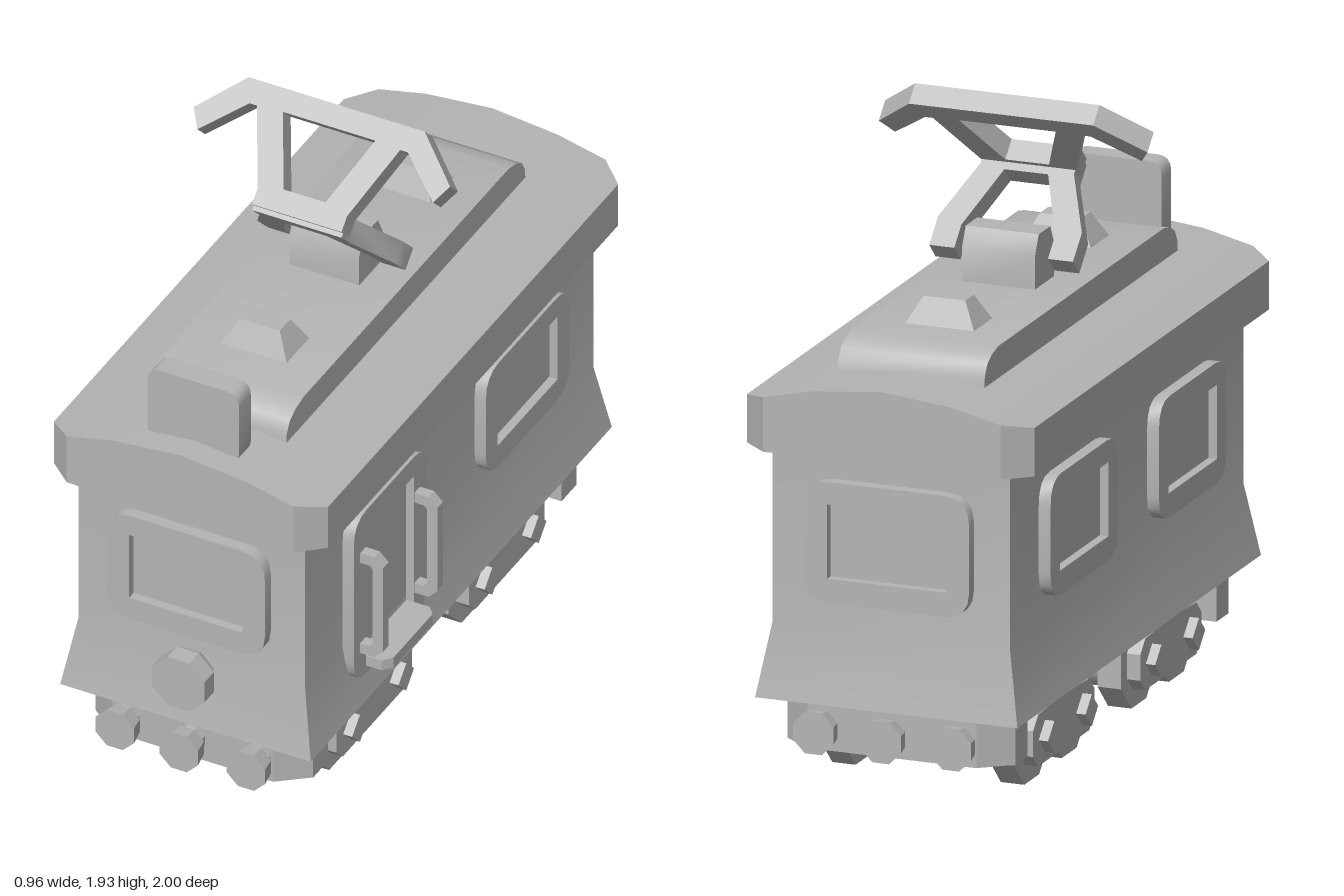
import * as THREE from 'three';
import { toCreasedNormals } from 'three/addons/utils/BufferGeometryUtils.js';

const grey = new THREE.MeshStandardMaterial({ color: 0xb4b4b4 });
grey.name = 'plain grey';

export function createModel() {
  const model = new THREE.Group();
  model.name = 'tram';
  const tram = new THREE.Group();
  tram.name = 'tramBody';
  tram.position.x = -0.02;
  model.add(tram);

  const add = (name, geo, x = 0, y = 0, z = 0, parent = tram, crease = 0.6) => {
    const mesh = new THREE.Mesh(toCreasedNormals(geo, crease), grey);
    mesh.name = name;
    mesh.position.set(x, y, z);
    parent.add(mesh);
    return mesh;
  };
  const box = (w, h, d) => new THREE.BoxGeometry(w, h, d);
  const poly = pts => new THREE.Shape(pts.map(p => new THREE.Vector2(p[0], p[1])));
  // mirrors a half outline to the other side of x = 0
  const mirrored = half => poly([...half, ...half.slice().reverse().map(([x, y]) => [-x, y])]);
  const extrude = (shape, depth) =>
    new THREE.ExtrudeGeometry(shape, { depth, bevelEnabled: false, curveSegments: 4 });
  // outline in (z, y), extruded across x and centred
  const across = (shape, width) =>
    extrude(shape, width).translate(0, 0, -width / 2).rotateY(-Math.PI / 2);
  const reshape = (geo, rule) => {
    const p = geo.attributes.position, v = new THREE.Vector3();
    for (let i = 0; i < p.count; i++) {
      rule(v.fromBufferAttribute(p, i));
      p.setXYZ(i, v.x, v.y, v.z);
    }
    return geo;
  };
  const roundRect = (x0, y0, x1, y1, r) => {
    const s = new THREE.Shape();
    s.moveTo(x0 + r, y0).lineTo(x1 - r, y0).quadraticCurveTo(x1, y0, x1, y0 + r);
    s.lineTo(x1, y1 - r).quadraticCurveTo(x1, y1, x1 - r, y1);
    s.lineTo(x0 + r, y1).quadraticCurveTo(x0, y1, x0, y1 - r);
    s.lineTo(x0, y0 + r).quadraticCurveTo(x0, y0, x0 + r, y0);
    return s;
  };
  const octagon = (r0, r1, len) =>
    new THREE.CylinderGeometry(r1, r0, len, 8).rotateY(Math.PI / 8).rotateX(Math.PI / 2);

  // cabin with flared skirt
  const levels = [0.28, 0.51, 1.08];
  add('cabin', reshape(new THREE.BoxGeometry(2, 2, 2, 1, 2, 1), v => {
    const flare = v.y < -0.5 ? 0.04 : 0;
    v.set(v.x * (0.38 + flare), levels[Math.round(v.y) + 1], v.z * (0.915 + flare));
  }), 0, 0, 0, tram, 0.3);

  // arched roof with cut corners
  const rx = [0, 0.22, 0.37, 0.46], rz = [0, 0.92, 0.99];
  const archY = x => 1.283 - 0.022 * Math.min(x / 0.22, 1) - 0.056 * Math.max(0, (x - 0.22) / 0.24);
  add('roof', reshape(new THREE.BoxGeometry(6, 1, 4, 6, 1, 4), v => {
    const i = Math.abs(Math.round(v.x)), k = Math.abs(Math.round(v.z));
    const x = k === 2 ? Math.min(rx[i], 0.38) : rx[i];
    v.set(Math.sign(v.x) * x, v.y > 0 ? archY(x) : 1.055, Math.sign(v.z) * rz[k]);
  }));

  // raised roof deck with rounded ends
  add('roofDeck', across(mirrored([[0.76, 1.24], [0.755, 1.29], [0.735, 1.325], [0.70, 1.345], [0.65, 1.357]]), 0.468));

  // tapered roof vents
  for (const z of [0.45, -0.465])
    add('roofVent', reshape(box(2, 0.09, 2), v => {
      const top = v.y > 0;
      v.set(v.x * (top ? 0.067 : 0.116), v.y, v.z * (top ? 0.033 : 0.077));
    }), 0, 1.391, z);

  // destination board
  add('signBoard', extrude(roundRect(-0.153, 1.24, 0.153, 1.5, 0.045), 0.075), 0, 0, 0.83);

  // pantograph foot and two folding frames
  add('pantographFoot', across(mirrored([[0.075, 1.34], [0.075, 1.46], [0.045, 1.52]]), 0.234));
  const upper = mirrored([[0.15, -0.02], [0.15, 0.03], [0.24, 0.265], [0.265, 0.265], [0.395, 0.145], [0.43, 0.205], [0.295, 0.339]]);
  upper.holes.push(mirrored([[0.07, 0.05], [0.155, 0.27]]));
  const lower = mirrored([[0.15, -0.02], [0.15, 0.05], [0.23, 0.24], [0.23, 0.339], [0.15, 0.339], [0.15, 0.26], [0.07, 0.06]]);
  for (const [name, shape, tilt] of [['pantographUpper', upper, -0.25], ['pantographLower', lower, -0.75]])
    add(name, extrude(shape, 0.07).translate(0, 0, -0.035).rotateX(tilt * Math.PI), 0, 1.665, 0.21);

  // window and door frames, outline and opening given on the wall
  const frame = (name, angle, wall, along, [w, y0, y1], [iw, iy0, iy1]) => {
    const holder = new THREE.Group();
    holder.name = name;
    holder.rotation.y = angle;
    tram.add(holder);
    const shape = roundRect(-w, y0, w, y1, 0.085);
    shape.holes.push(poly([[-iw, iy0], [-iw, iy1], [iw, iy1], [iw, iy0]]));
    add(name + 'Frame', extrude(shape, 0.048), along, 0, wall - 0.01, holder);
    add(name + 'Panel', box(iw * 2, iy1 - iy0, 0.012), along, (iy0 + iy1) / 2, wall + 0.004, holder);
  };
  const win = [[0.265, 0.597, 0.973], [0.19, 0.673, 0.903]];
  frame('frontWindow', 0, 0.915, 0, ...win);
  frame('backWindow', Math.PI, 0.915, 0, ...win);
  frame('leftWindow', Math.PI / 2, 0.38, 0.425, ...win);
  for (const z of [-0.425, 0.425]) frame('rightWindow', -Math.PI / 2, 0.38, z, ...win);
  frame('door', Math.PI / 2, 0.38, -0.448, [0.23, 0.375, 0.973], [0.153, 0.44, 0.903]);

  // door step and grab handles
  add('doorStep', extrude(poly([[0.38, -0.153], [0.47, -0.153], [0.495, -0.125], [0.495, 0.125], [0.47, 0.153], [0.38, 0.153]]), 0.036)
    .rotateX(-Math.PI / 2), 0, 0.405, 0.448);
  for (const z of [0.62, 0.276])
    add('grabHandle', extrude(poly([[0.4, 0.475], [0.465, 0.475], [0.495, 0.505], [0.495, 0.81], [0.465, 0.84], [0.4, 0.84],
      [0.4, 0.805], [0.45, 0.805], [0.46, 0.795], [0.46, 0.52], [0.45, 0.51], [0.4, 0.51]]), 0.036), 0, 0, z - 0.018);

  // headlight
  add('headlight', octagon(0.075, 0.095, 0.04), 0, 0.45, 0.925);
  add('headlightLens', octagon(0.095, 0.095, 0.06), 0, 0.45, 0.97);

  // both ends: bumper beam, buffers, bogie
  for (const side of [1, -1]) {
    const end = new THREE.Group();
    end.name = side > 0 ? 'frontEnd' : 'backEnd';
    end.rotation.y = side > 0 ? 0 : Math.PI;
    tram.add(end);
    add('bumperBeam', extrude(mirrored([[0.365, -0.74], [0.365, -0.835], [0.27, -0.91]].reverse()), 0.165)
      .rotateX(-Math.PI / 2), 0, 0.127, 0, end);
    for (const x of [-0.22, 0, 0.22]) {
      add('bufferStem', octagon(0.045, 0.045, 0.08), x, 0.2, 0.91, end);
      add('bufferHead', octagon(0.06, 0.07, 0.055), x, 0.2, x ? 0.96 : 0.97, end);
    }

    for (const s of [1, -1]) {
      // bogie side plate with wheels and diamond hubs
      add('bogiePlate', across(poly([[0.18, 0.1], [0.22, 0.06], [0.62, 0.06], [0.66, 0.1], [0.66, 0.18], [0.62, 0.22],
        [0.505, 0.225], [0.335, 0.225], [0.22, 0.22], [0.18, 0.18]]), 0.05), s * 0.325, 0, 0, end);
      for (const z of [0.567, 0.273]) {
        add('wheel', new THREE.CylinderGeometry(0.152, 0.152, 0.075, 8).rotateY(Math.PI / 8).rotateZ(Math.PI / 2),
          s * 0.27, 0.14, z, end);
        add('hub', box(0.05, 0.07, 0.07).rotateX(Math.PI / 4), s * 0.355, 0.14, z, end);
      }
    }
    for (const z of [0.567, 0.273])
      add('axleDrum', new THREE.CylinderGeometry(0.095, 0.095, 0.5, 16).rotateZ(Math.PI / 2), 0, 0.14, z, end);
    add('bogieMount', box(0.4, 0.12, 0.17), 0, 0.23, 0.42, end);
  }

  // tapered equipment box under the floor
  add('underfloorBox', reshape(box(2, 0.17, 0.227), v => { v.x *= v.y > 0 ? 0.36 : 0.22; }), 0, 0.212, -0.005);

  // settle the wheels on the ground
  const bounds = new THREE.Box3().setFromObject(model);
  model.position.y = -bounds.min.y;
  return model;
}
